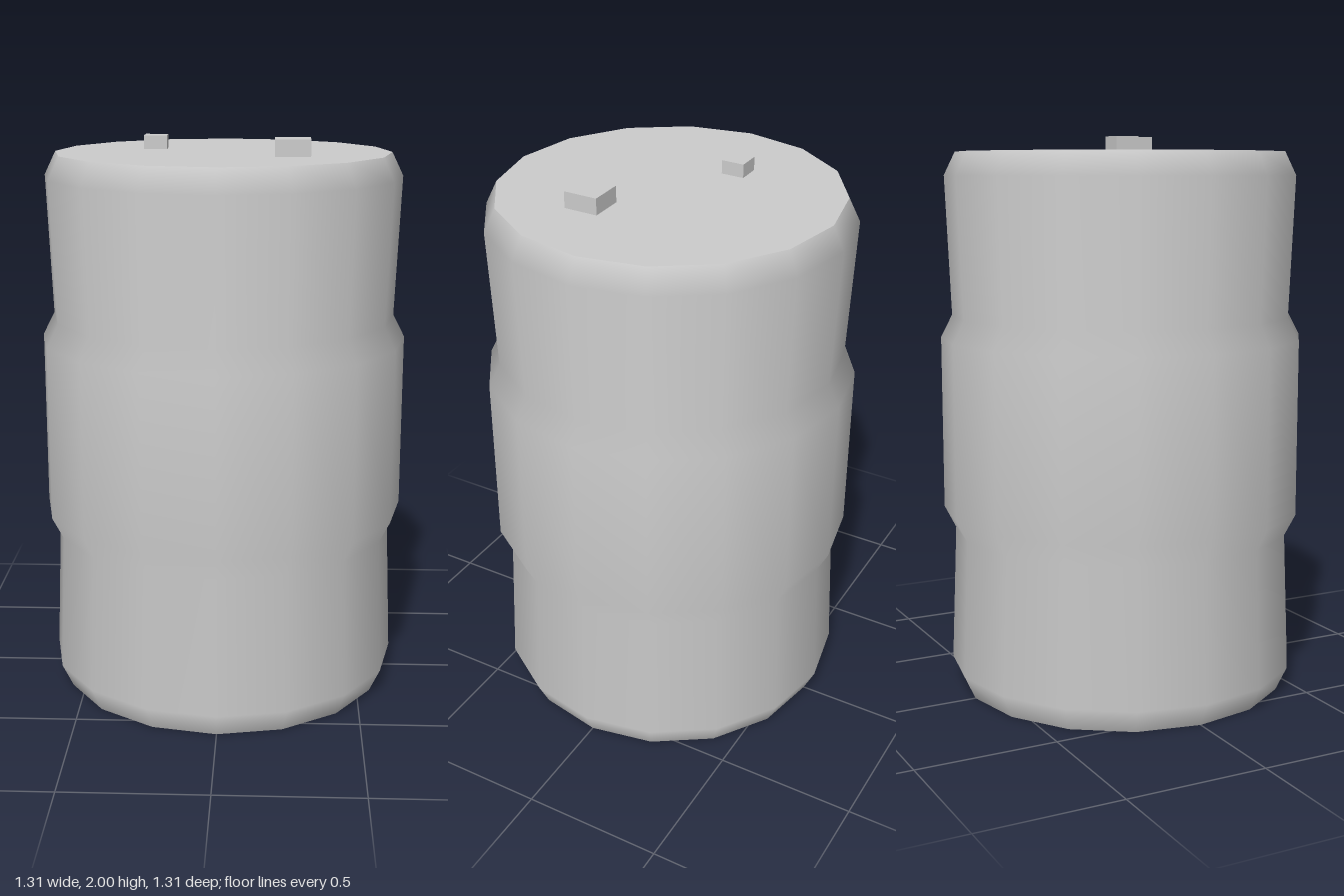
import * as THREE from 'three';

const SIDES = 16;

export function createModel() {
  const group = new THREE.Group();
  const grey = new THREE.MeshStandardMaterial({ color: 0xcccccc });
  grey.name = 'light grey';

  const add = (name, geometry, x = 0, y = 0, z = 0) => {
    const mesh = new THREE.Mesh(geometry, grey);
    mesh.name = name;
    mesh.position.set(x, y, z);
    group.add(mesh);
    return mesh;
  };

  // Smooth side wall with a raised middle band and tapered rims
  const profile = [
    [0.592, 0], [0.632, 0.085], [0.612, 0.58], [0.653, 0.66],
    [0.653, 1.285], [0.612, 1.365], [0.632, 1.86], [0.592, 1.942],
  ].map(([r, y]) => new THREE.Vector2(r, y));
  add('canBody', new THREE.LatheGeometry(profile, SIDES));

  // Flat ends, separate so their edges stay sharp
  const cap = new THREE.CircleGeometry(0.592, SIDES);
  add('topCap', cap, 0, 1.942, 0).rotation.x = -Math.PI / 2;
  add('bottomCap', cap).rotation.x = Math.PI / 2;

  // Two small blocks on the lid
  const addBlock = (name, size, top, x, z) => {
    const height = top - 1.94;
    add(name, new THREE.BoxGeometry(size, height, size), x, 1.94 + height / 2, z);
  };
  addBlock('smallLidBlock', 0.082, 1.99, -0.245, -0.125);
  addBlock('largeLidBlock', 0.122, 2, 0.243, 0.162);

  return group;
}
